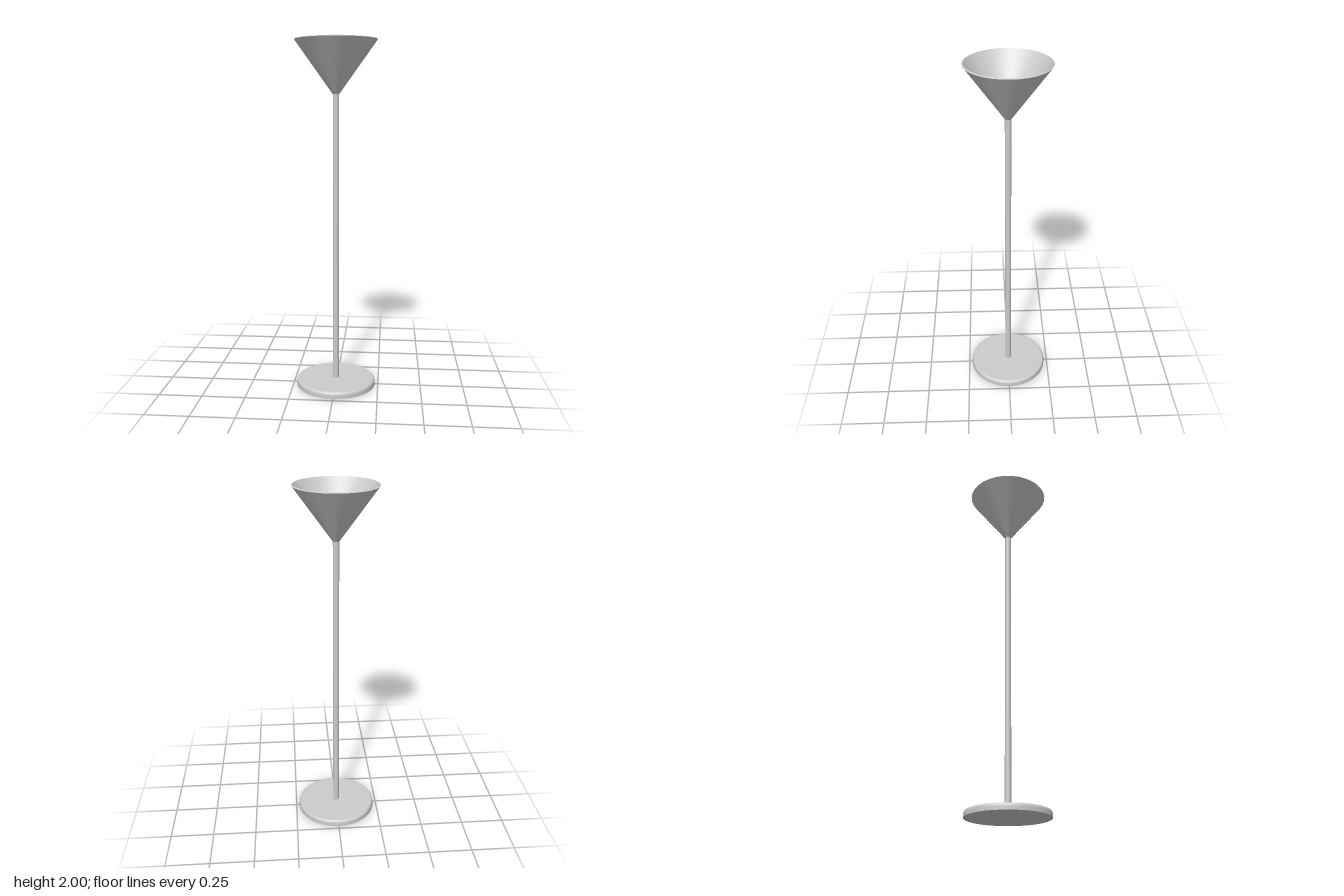
import * as THREE from 'three';

const material = new THREE.MeshStandardMaterial({ color: 0xcccccc });
const shadeMaterial = new THREE.MeshStandardMaterial({ color: 0xcccccc, side: THREE.DoubleSide });

function part(name, geometry, y = 0, mat = material) {
  const mesh = new THREE.Mesh(geometry, mat);
  mesh.name = name;
  mesh.position.y = y;
  return mesh;
}

// Lathe from separate profile strips, so the edges between strips stay sharp
function turned(name, strips, mat) {
  const group = new THREE.Group();
  group.name = name;
  strips.forEach((strip, i) => {
    const points = strip.map(([r, y]) => new THREE.Vector2(r, y));
    group.add(part(`${name}Surface${i + 1}`, new THREE.LatheGeometry(points, 32), 0, mat));
  });
  return group;
}

export function createModel() {
  const lamp = new THREE.Group();
  lamp.name = 'floorLamp';

  // Disc foot with a softly rounded upper edge
  const edge = [[0.231, 0], [0.231, 0.018]];
  for (let i = 1; i <= 5; i++) {
    const a = (i / 5) * Math.PI / 2;
    edge.push([0.219 + 0.012 * Math.cos(a), 0.018 + 0.019 * Math.sin(a)]);
  }
  lamp.add(turned('base', [[[0, 0], [0.231, 0]], edge, [[0.219, 0.037], [0, 0.037]]]));

  // Slender pole
  lamp.add(part('pole', new THREE.CylinderGeometry(0.0175, 0.0175, 1.67, 32), 0.865));

  // Thin-walled conical shade, open at the top, with a slightly sloping rim
  lamp.add(turned('shade', [
    [[0, 1.7], [0.018, 1.7]],
    [[0.018, 1.7], [0.231, 1.996]],
    [[0.231, 1.996], [0.224, 2]],
    [[0.224, 2], [0.012, 1.706], [0, 1.706]],
  ], shadeMaterial));

  // Round bulb nested in the shade
  lamp.add(part('bulb', new THREE.SphereGeometry(0.049, 32, 20), 1.77));

  return lamp;
}
